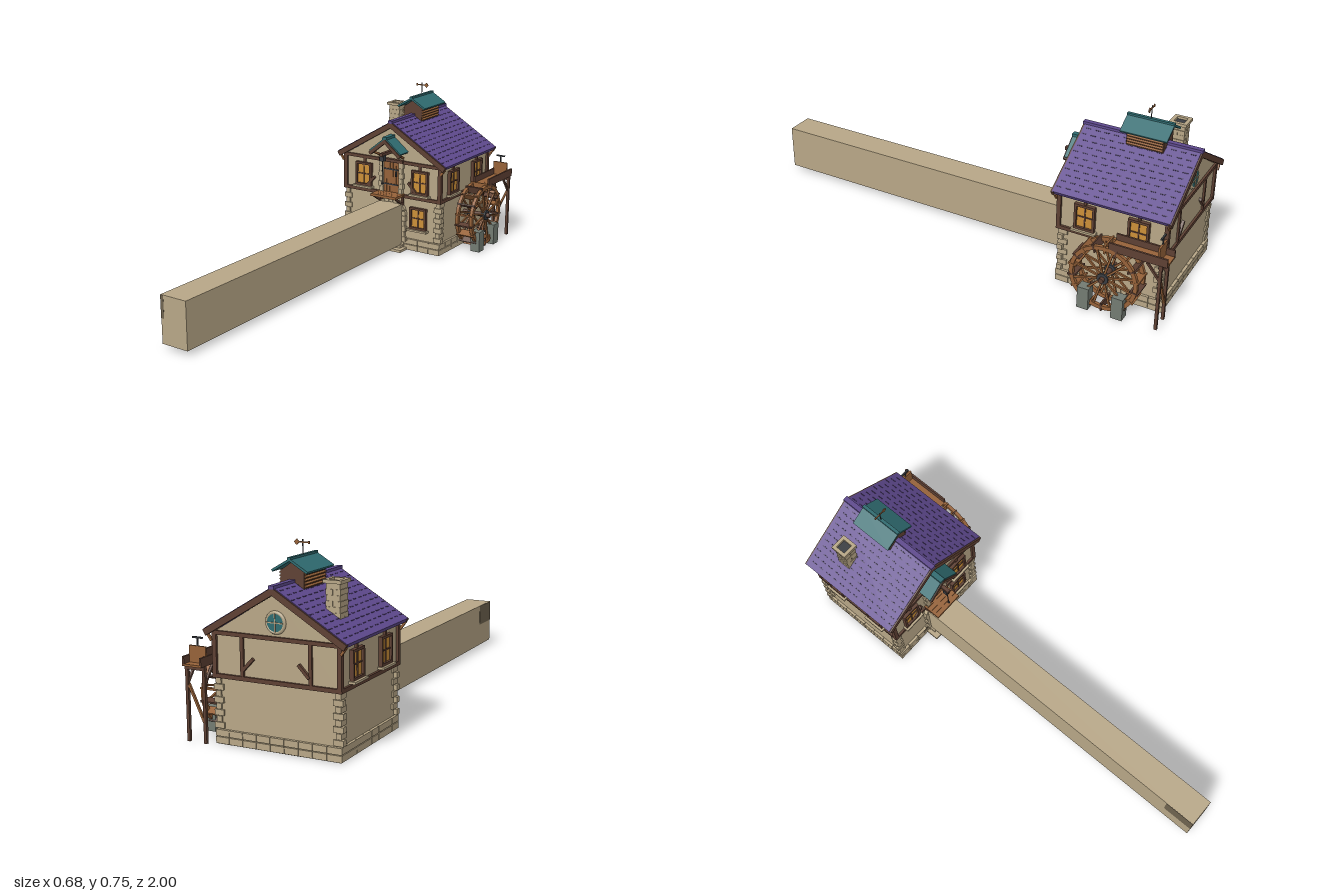
import * as THREE from 'three';
import { mergeGeometries } from 'three/addons/utils/BufferGeometryUtils.js';

const mat = (name, color) => Object.assign(new THREE.MeshStandardMaterial({ color }), { name });

export function createModel() {
  const M = {
    stone: mat('stone', 0xb8a787), shade: mat('dark stone', 0x6f634f), dark: mat('dark timber', 0x5e4033),
    wood: mat('wood', 0x966239), tile: mat('purple tile', 0x5f4a8e), gap: mat('tile shadow line', 0x41325f),
    teal: mat('teal roof', 0x2f6b70), glass: mat('amber glass', 0xcc8f38), iron: mat('iron', 0x3a3d42),
    pier: mat('grey pier', 0x737b72),
  };
  const parts = new Map();
  let base = new THREE.Matrix4();
  // Collects geometry by part name and colour
  const put = (name, m, geo) => {
    const key = name + '|' + m;
    if (!parts.has(key)) parts.set(key, []);
    const g = geo.index ? geo.toNonIndexed() : geo;
    parts.get(key).push(g.applyMatrix4(base));
  };
  // Box by its limits
  const box = (name, m, x0, x1, y0, y1, z0, z1) => put(name, m,
    new THREE.BoxGeometry(x1 - x0, y1 - y0, z1 - z0).translate((x0 + x1) / 2, (y0 + y1) / 2, (z0 + z1) / 2));
  // Box by centre and size, turned about z
  const tilt = (name, m, x, y, z, w, h, d, a) =>
    put(name, m, new THREE.BoxGeometry(w, h, d).rotateZ(a).translate(x, y, z));
  // Square bar between two points
  const bar = (name, m, a, b, t, d = t) => {
    const p = new THREE.Vector3(...a), q = new THREE.Vector3(...b), v = q.clone().sub(p);
    const rot = new THREE.Quaternion().setFromUnitVectors(new THREE.Vector3(0, 1, 0), v.clone().normalize());
    put(name, m, new THREE.BoxGeometry(t, v.length(), d).applyQuaternion(rot)
      .translate(...p.add(q).multiplyScalar(0.5).toArray()));
  };
  const rodX = (name, m, r, x0, x1, y, z, n = 12) => put(name, m,
    new THREE.CylinderGeometry(r, r, x1 - x0, n).rotateZ(Math.PI / 2).translate((x0 + x1) / 2, y, z));
  // Runs a builder on a wall: turned about y, then moved
  const on = (x, y, z, ry, fn) => {
    const old = base;
    base = old.clone().multiply(new THREE.Matrix4().makeRotationY(ry).setPosition(x, y, z));
    fn();
    base = old;
  };
  const sides = [-1, 1];

  // Walls
  box('lowerWall', 'stone', -0.25, 0.25, 0.004, 0.252, -0.22, 0.22);
  box('underside', 'shade', -0.258, 0.258, 0, 0.006, -0.228, 0.228);
  const gable = new THREE.Shape([[-0.255, 0.25], [0.255, 0.25], [0.255, 0.422], [0, 0.578], [-0.255, 0.422]]
    .map((p) => new THREE.Vector2(...p)));
  put('upperWall', 'stone', new THREE.ExtrudeGeometry(gable, { depth: 0.45, bevelEnabled: false }).translate(0, 0, -0.225));

  // Plinth blocks and corner stones
  const courses = (len, z) => {
    for (let r = 0; r < 2; r++) {
      const n = Math.round(len / 0.058), w = len / n;
      for (let i = 0; i < n; i++) {
        const x = -len / 2 + i * w;
        box('plinth', 'stone', x + 0.001, x + w - 0.001, r * 0.028 + 0.002, r * 0.028 + 0.027, z - 0.015, z);
      }
    }
  };
  for (const s of sides) {
    on(0, 0, 0, s > 0 ? 0 : Math.PI, () => courses(0.522, 0.232));
    on(0, 0, 0, s * Math.PI / 2, () => courses(0.462, 0.261));
    for (const t of sides) for (let i = 0; i < 8; i++) {
      const y = 0.058 + i * 0.024, a = i % 2 ? 0.022 : 0.04, b = i % 2 ? 0.04 : 0.022, o = i % 2 ? 0.008 : 0.016;
      const x = s * (0.25 + o - a / 2), z = t * (0.227 - b / 2);
      tilt('cornerStones', 'stone', x, y + 0.012, z, a, 0.022, b, 0);
    }
  }
  box('plinth', 'shade', -0.106, -0.082, 0.03, 0.055, 0.23, 0.234);

  // Timber frame
  for (const s of sides) {
    for (const [y0, y1] of [[0.25, 0.266], [0.41, 0.425]]) {
      box('timberFrame', 'dark', -0.264, 0.264, y0, y1, s * 0.226 - 0.008, s * 0.226 + 0.008);
      box('timberFrame', 'dark', s * 0.257 - 0.008, s * 0.257 + 0.008, y0, y1, -0.225, 0.225);
    }
    for (const t of sides) {
      box('timberFrame', 'dark', s * 0.256 - 0.009, s * 0.256 + 0.009, 0.25, 0.425, t * 0.226 - 0.009, t * 0.226 + 0.009);
      box('timberFrame', 'dark', s * 0.258 - 0.006, s * 0.258 + 0.006, 0.38, 0.42, t * 0.113 - 0.006, t * 0.113 + 0.006);
    }
    box('timberFrame', 'dark', s * 0.15 - 0.006, s * 0.15 + 0.006, 0.38, 0.415, 0.222, 0.232);
    bar('frontBrace', 'dark', [s * 0.092, 0.327, 0.233], [s * 0.132, 0.285, 0.233], 0.012, 0.014);
    box('backPost', 'dark', s * 0.14 - 0.007, s * 0.14 + 0.007, 0.26, 0.415, -0.233, -0.223);
    bar('backBrace', 'dark', [s * 0.136, 0.29, -0.23], [s * 0.093, 0.335, -0.23], 0.012, 0.012);
  }

  // Windows
  const win = (h = 0.112) => {
    const w = 0.044, k = h / 2;
    box('windowGlass', 'glass', -w + 0.01, w - 0.01, -k + 0.01, k - 0.01, 0, 0.006);
    for (const s of sides) {
      box('windowFrame', 'dark', s * 0.039 - 0.005, s * 0.039 + 0.005, -k, k, 0, 0.016);
      box('windowFrame', 'dark', -w, w, s * (k - 0.005) - 0.005, s * (k - 0.005) + 0.005, 0, 0.016);
    }
    box('windowFrame', 'dark', -0.0025, 0.0025, -k, k, 0, 0.01);
    box('windowFrame', 'dark', -w, w, -0.0025, 0.0025, 0, 0.01);
    box('windowSill', 'stone', -0.052, 0.052, -k - 0.009, -k, 0, 0.026);
  };
  for (const s of sides) {
    on(s * 0.153, 0.334, 0.225, 0, () => win());
    for (const t of sides) on(s * 0.255, 0.334, t * 0.113, s * Math.PI / 2, () => win());
  }
  on(0.144, 0.16, 0.22, 0, () => win(0.104));

  // Round window in the back gable
  on(0, 0.475, -0.225, Math.PI, () => {
    put('roundWindow', 'teal', new THREE.CylinderGeometry(0.034, 0.034, 0.008, 24).rotateX(Math.PI / 2).translate(0, 0, 0.002));
    put('roundWindowRing', 'stone', new THREE.TorusGeometry(0.036, 0.007, 6, 24));
    box('roundWindowBars', 'stone', -0.002, 0.002, -0.034, 0.034, 0, 0.009);
    box('roundWindowBars', 'stone', -0.034, 0.034, -0.002, 0.002, 0, 0.009);
  });

  // Arched entrance, step and long stone channel
  for (const s of sides) for (let i = 0; i < 6; i++) {
    const o = i % 2 ? 0.08 : 0.074, y = 0.012 + i * 0.0252;
    box('archJamb', 'stone', s > 0 ? 0.06 : -o, s > 0 ? o : -0.06, y, y + 0.024, 0.2, 0.236);
  }
  for (let i = 0; i < 9; i++) {
    const a = (i + 0.06) * Math.PI / 9, b = (i + 0.94) * Math.PI / 9, sh = new THREE.Shape();
    sh.absarc(0, 0, 0.08, a, b, false);
    sh.absarc(0, 0, 0.058, b, a, true);
    put('archStones', 'stone', new THREE.ExtrudeGeometry(sh, { depth: 0.03, bevelEnabled: false, curveSegments: 3 }).translate(0, 0.163, 0.206));
  }
  box('doorStep', 'stone', -0.088, 0.088, 0, 0.012, 0.2, 0.29);
  box('doorStep', 'stone', -0.07, 0.07, 0.012, 0.024, 0.2, 0.262);
  box('stoneChannel', 'stone', -0.0625, 0.0605, 0.022, 0.218, 0.21, 1.725);
  box('channelPatch', 'shade', -0.0635, -0.049, 0.124, 0.217, 1.585, 1.7255);

  // Loft door
  for (let i = 0; i < 5; i++) box('loftDoor', 'wood', -0.042 + i * 0.017, -0.0265 + i * 0.017, 0.266, 0.414, 0.22, 0.232);
  for (const y of [0.305, 0.377]) box('doorHinges', 'iron', -0.041, 0.036, y - 0.003, y + 0.003, 0.23, 0.236);
  box('doorHandle', 'iron', 0.024, 0.03, 0.346, 0.37, 0.23, 0.24);
  box('doorLintel', 'dark', -0.064, 0.064, 0.414, 0.428, 0.215, 0.244);
  for (const s of sides) for (let i = 0; i < 6; i++) {
    const o = i % 2 ? 0.066 : 0.061, y = 0.267 + i * 0.0245;
    box('loftDoorJamb', 'stone', s > 0 ? 0.042 : -o, s > 0 ? o : -0.042, y, y + 0.0235, 0.215, 0.24);
  }

  // Loading platform
  for (let i = 0; i < 4; i++) box('platform', 'wood', -0.069, 0.069, 0.256, 0.268, 0.222 + i * 0.0215, 0.2425 + i * 0.0215);
  for (const s of sides) {
    box('platformBracket', 'dark', s * 0.058 - 0.005, s * 0.058 + 0.005, 0.212, 0.256, 0.22, 0.23);
    bar('platformBracket', 'dark', [s * 0.058, 0.216, 0.226], [s * 0.058, 0.254, 0.29], 0.009);
  }

  // Gabled roof slopes: half width, apex height, slope angle, thickness, depth limits
  const slopes = (name, m, hw, top, a, t, z0, z1) => {
    for (const s of sides) {
      const c = Math.cos(a), n = Math.sin(a);
      tilt(name, m, s * (hw / 2 - n * t / 2), top - hw * Math.tan(a) / 2 - c * t / 2, (z0 + z1) / 2, hw / c, t, z1 - z0, -s * a);
    }
  };
  const A = 0.54;
  slopes('mainRoof', 'tile', 0.293, 0.606, A, 0.018, -0.245, 0.244);
  for (const s of sides) slopes('bargeBoards', 'dark', 0.293, 0.603, A, 0.024, s * 0.244 - 0.007, s * 0.244 + 0.007);
  box('roofRidge', 'tile', -0.011, 0.011, 0.597, 0.61, -0.252, 0.252);
  // Short dark lines between the tiles
  for (const s of sides) for (let r = 1; r < 12; r++) for (let i = 0; i < 12; i++) {
    const d = r * 0.0244, z = -0.228 + i * 0.04 + ((r * 7) % 3) * 0.008;
    tilt('tileLines', 'gap', s * d, 0.6065 - d * Math.tan(A), z, 0.0045, 0.002, 0.022, -s * A);
  }
  for (const s of sides) for (const t of sides)
    bar('eaveBracket', 'wood', [s * 0.264, 0.388, t * 0.236], [s * 0.284, 0.416, t * 0.236], 0.009);

  // Hoist hood over the loft door
  slopes('hoodRoof', 'teal', 0.085, 0.54, 0.68, 0.01, 0.222, 0.295);
  slopes('hoodBarge', 'dark', 0.086, 0.532, 0.68, 0.016, 0.284, 0.3);
  box('hoodRidge', 'teal', -0.012, 0.012, 0.53, 0.542, 0.222, 0.298);
  for (const s of sides) bar('hoodBracket', 'wood', [s * 0.06, 0.438, 0.23], [s * 0.072, 0.464, 0.284], 0.009);
  box('hoistBeam', 'dark', -0.008, 0.008, 0.457, 0.472, 0.22, 0.328);
  box('hoistPulley', 'iron', -0.011, 0.011, 0.434, 0.46, 0.3, 0.322);
  box('hoistRope', 'iron', -0.0015, 0.0015, 0.33, 0.436, 0.312, 0.315);
  box('hoistHook', 'iron', -0.004, 0.004, 0.324, 0.332, 0.309, 0.318);

  // Roof vent with slats and weathervane
  on(0, 0, -0.03, 0, () => {
    box('ventBox', 'dark', -0.048, 0.048, 0.56, 0.645, -0.078, 0.078);
    for (const s of sides) for (let i = 0; i < 5; i++)
      tilt('ventSlats', 'wood', s * 0.05, 0.586 + i * 0.012, 0, 0.01, 0.005, 0.15, -s * 0.5);
    const end = new THREE.Shape([[-0.048, 0.64], [0.048, 0.64], [0, 0.674]].map((p) => new THREE.Vector2(...p)));
    put('ventGable', 'dark', new THREE.ExtrudeGeometry(end, { depth: 0.156, bevelEnabled: false }).translate(0, 0, -0.078));
    slopes('ventRoof', 'teal', 0.075, 0.688, 0.53, 0.009, -0.098, 0.098);
    box('ventRidge', 'teal', -0.007, 0.007, 0.682, 0.692, -0.099, 0.099);
    box('vanePole', 'iron', -0.0015, 0.0015, 0.685, 0.745, -0.0015, 0.0015);
    box('vaneArrow', 'wood', -0.026, 0.03, 0.732, 0.737, -0.002, 0.002);
    tilt('vaneArrow', 'wood', 0.025, 0.7345, 0, 0.016, 0.016, 0.004, Math.PI / 4);
    box('vaneArrow', 'wood', -0.028, -0.022, 0.729, 0.74, -0.002, 0.002);
  });

  // Chimney
  on(-0.172, 0, -0.092, 0, () => {
    box('chimneyCore', 'stone', -0.027, 0.027, 0.44, 0.612, -0.027, 0.027);
    for (let i = 0; i < 7; i++) for (const s of sides) for (const t of sides) {
      const y = 0.465 + i * 0.021, k = (i % 2 ? 0.005 : -0.005) * s;
      tilt('chimneyStones', 'stone', s * 0.015 + k * 0.2, y + 0.01, t * 0.015, 0.028, 0.0195, 0.029, 0);
    }
    for (const s of sides) {
      box('chimneyCap', 'stone', s * 0.0295 - 0.0075, s * 0.0295 + 0.0075, 0.611, 0.624, -0.037, 0.037);
      box('chimneyCap', 'stone', -0.022, 0.022, 0.611, 0.624, s * 0.0295 - 0.0075, s * 0.0295 + 0.0075);
    }
    box('chimneyFlue', 'iron', -0.022, 0.022, 0.61, 0.614, -0.022, 0.022);
  });

  // Water wheel
  const wy = 0.155, wz = -0.021;
  for (const x of [0.282, 0.354]) {
    const ring = new THREE.Shape().absarc(0, 0, 0.144, 0, Math.PI * 2);
    ring.holes.push(new THREE.Path().absarc(0, 0, 0.127, 0, Math.PI * 2, true));
    put('wheelRim', 'wood', new THREE.ExtrudeGeometry(ring, { depth: 0.015, bevelEnabled: false, curveSegments: 24 })
      .rotateY(Math.PI / 2).translate(x, wy, wz));
    rodX('wheelHub', 'iron', 0.024, x - 0.002, x + 0.018, wy, wz);
    for (let i = 0; i < 12; i++) {
      const a = (i + 0.5) * Math.PI / 6, c = Math.cos(a), n = Math.sin(a);
      bar('wheelSpokes', 'wood', [x + 0.0075, wy + 0.02 * n, wz + 0.02 * c], [x + 0.0075, wy + 0.13 * n, wz + 0.13 * c], 0.008);
    }
  }
  for (let i = 0; i < 18; i++) {
    const a = i * Math.PI / 9;
    put('wheelPaddles', i % 2 ? 'dark' : 'wood', new THREE.BoxGeometry(0.088, 0.036, 0.007).translate(0, 0.133, 0)
      .rotateX(a).translate(0.326, wy, wz));
  }
  rodX('wheelAxle', 'dark', 0.011, 0.25, 0.388, wy, wz);
  for (const s of sides) box('wheelPier', 'pier', 0.341, 0.386, 0, 0.096, wz + s * 0.0725 - 0.024, wz + s * 0.0725 + 0.024);

  // Flume, its legs and the sluice gate
  box('flumeFloor', 'wood', 0.289, 0.367, 0.29, 0.298, -0.275, -0.037);
  for (const x of [0.287, 0.361]) {
    box('flumeSide', 'dark', x, x + 0.008, 0.29, 0.326, -0.275, -0.037);
    box('flumeLeg', 'dark', x - 0.002, x + 0.01, 0, 0.292, -0.256, -0.244);
    bar('flumeBrace', 'dark', [x + 0.004, 0.22, -0.25], [x + 0.004, 0.288, -0.195], 0.009);
  }
  bar('flumeCrossBrace', 'wood', [0.295, 0.08, -0.25], [0.36, 0.22, -0.25], 0.009);
  box('flumeCrossBar', 'dark', 0.285, 0.371, 0.275, 0.29, -0.258, -0.242);
  box('sluiceGate', 'wood', 0.29, 0.362, 0.295, 0.361, -0.24, -0.232);
  box('sluiceHandle', 'iron', 0.324, 0.329, 0.36, 0.392, -0.238, -0.233);
  box('sluiceHandle', 'iron', 0.304, 0.348, 0.389, 0.395, -0.239, -0.232);

  // Merge each part into one mesh per colour
  const group = new THREE.Group();
  group.name = 'watermill';
  for (const [key, geos] of parts) {
    const [name, m] = key.split('|');
    const mesh = new THREE.Mesh(mergeGeometries(geos), M[m]);
    mesh.name = name;
    mesh.position.set(-0.048, 0, -0.725);
    group.add(mesh);
  }
  return group;
}
